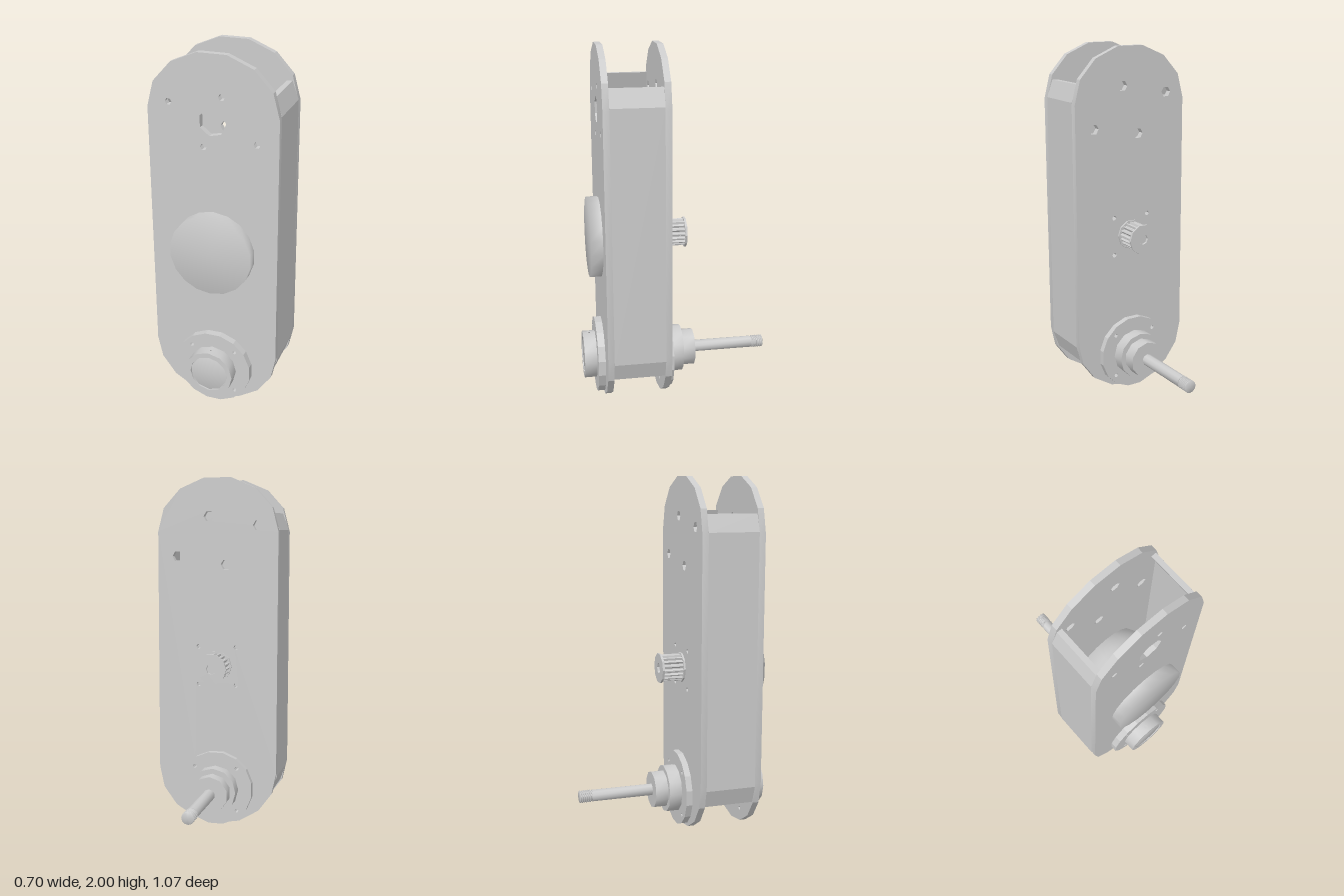
import * as THREE from 'three';
import { toCreasedNormals } from 'three/addons/utils/BufferGeometryUtils.js';

const material = new THREE.MeshStandardMaterial({ color: 0xcccccc });
const HUB_Y = 0.22, MOTOR_Y = 0.935;
const bolts = [[-0.235, 1.735], [0.05, 1.785], [0.235, 1.56], [-0.05, 1.515]];
const square = (cy, d) => [[-d, cy + d], [d, cy + d], [d, cy - d], [-d, cy - d]];

export function createModel() {
  const group = new THREE.Group();

  const add = (name, geometry, y = 0, z = 0) => {
    const mesh = new THREE.Mesh(geometry, material);
    mesh.name = name;
    mesh.position.set(0, y, z);
    group.add(mesh);
    return mesh;
  };

  // Solid of revolution about z; profile holds [radius, z] pairs with z rising
  const turned = (name, y, profile, sides, soft = false) => {
    const g = new THREE.LatheGeometry(profile.map(p => new THREE.Vector2(...p)), sides);
    g.rotateX(Math.PI / 2);
    return add(name, soft ? g : toCreasedNormals(g, 0.85), y);
  };

  // Straight extrusion along z from z0 to z1
  const slab = (name, shape, z0, z1, y = 0) => {
    const g = new THREE.ExtrudeGeometry(shape, { depth: z1 - z0, bevelEnabled: false });
    return add(name, toCreasedNormals(g, 0.3), y, z0);
  };

  const polygon = (x, y, r, sides, turn = 0) => Array.from({ length: sides }, (_, i) => {
    const a = turn + i / sides * Math.PI * 2;
    return new THREE.Vector2(x + r * Math.cos(a), y + r * Math.sin(a));
  });
  const drill = (shape, places, r, sides = 6) => {
    for (const [x, y] of places) shape.holes.push(new THREE.Path(polygon(x, y, r, sides)));
  };

  // Long plates with faceted round ends
  const plateShape = () => {
    const pts = [];
    for (let i = 0; i <= 7; i++) {
      const a = i / 7 * Math.PI;
      pts.push(new THREE.Vector2(0.35 * Math.cos(a), 1.7 + 0.308 * Math.sin(a)));
    }
    for (let i = 0; i <= 8; i++) {
      const a = Math.PI + i / 8 * Math.PI;
      pts.push(new THREE.Vector2(0.35 * Math.cos(a), 0.32 + 0.32 * Math.sin(a)));
    }
    return new THREE.Shape(pts);
  };
  const front = plateShape();
  drill(front, bolts, 0.018);
  drill(front, [[0, 1.65]], 0.074, 7);
  drill(front, square(HUB_Y, 0.125), 0.012);
  slab('frontPlate', front, 0.39, 0.425);

  const back = plateShape();
  drill(back, bolts, 0.03);
  drill(back, square(MOTOR_Y, 0.11), 0.014);
  drill(back, square(HUB_Y, 0.125), 0.012);
  slab('backPlate', back, 0.07, 0.105);

  // Side walls between the plates
  for (const s of [1, -1]) {
    const outline = [[0.35, 0.3], [0.35, 1.71], [0.315, 1.805], [0.285, 1.805], [0.32, 1.7],
      [0.32, 0.31], [0.285, 0.2], [0.315, 0.2]].map(([x, y]) => new THREE.Vector2(s * x, y));
    slab(s > 0 ? 'leftWall' : 'rightWall', new THREE.Shape(outline), 0.105, 0.39);
  }

  // Motor with a tapered rear and softly shaded front face
  turned('motor', MOTOR_Y, [[0, 0.105], [0.185, 0.105], [0.224, 0.18], [0.224, 0.43]], 18);
  turned('motorCap', MOTOR_Y, [[0.226, 0.425], [0.226, 0.49], [0, 0.49]], 18, true);

  // Toothed pulley on the motor shaft
  const teeth = 18, gearPoints = [];
  for (let i = 0; i < teeth * 4; i++) {
    const a = (i + 0.5) / (teeth * 4) * Math.PI * 2;
    const r = i % 4 < 2 ? 0.077 : 0.066;
    gearPoints.push(new THREE.Vector2(r * Math.cos(a), r * Math.sin(a)));
  }
  const gear = new THREE.Shape(gearPoints);
  drill(gear, [[0, 0]], 0.03, 8);
  slab('pulleyTeeth', gear, -0.052, 0.062, MOTOR_Y);
  for (const [name, z] of [['pulleyRearFlange', -0.064], ['pulleyFrontFlange', 0.06]]) {
    const ring = new THREE.Shape(polygon(0, 0, 0.086, 10));
    drill(ring, [[0, 0]], 0.03, 8);
    slab(name, ring, z, z + 0.012, MOTOR_Y);
  }
  turned('motorShaft', MOTOR_Y, [[0, -0.05], [0.03, -0.05], [0.03, 0.105]], 8);

  // Bolted hub flanges on both plates
  for (const [name, z0, z1] of [['frontHubFlange', 0.425, 0.465], ['rearHubFlange', 0.035, 0.07]]) {
    const flange = new THREE.Shape(polygon(0, 0, 0.216, 16, Math.PI / 16));
    drill(flange, square(0, 0.125), 0.012);
    slab(name, flange, z0, z1, HUB_Y);
  }

  // Front bearing housing with a face set into its rim
  turned('frontHubBoss', HUB_Y,
    [[0.135, 0.46], [0.135, 0.535], [0.107, 0.535], [0.107, 0.52]], 12);
  turned('frontBearingFace', HUB_Y, [[0.105, 0.5], [0.105, 0.53], [0, 0.53]], 10, true);
  const screw = add('setScrew', new THREE.ConeGeometry(0.012, 0.012, 6), HUB_Y + 0.133, 0.5);
  screw.rotation.x = Math.PI;

  // Hub core between the plates and the stepped rear housing
  turned('hubCore', HUB_Y, [[0.107, 0.1], [0.107, 0.395]], 12);
  turned('rearHubBoss', HUB_Y, [[0.1, -0.037], [0.135, -0.037], [0.135, 0.04]], 12);
  turned('rearHubCollar', HUB_Y, [[0, -0.11], [0.106, -0.11], [0.106, -0.03]], 10);

  // Output shaft with a threaded tip
  turned('outputShaft', HUB_Y, [[0, -0.462], [0.034, -0.462], [0.034, -0.1]], 10);
  const thread = [[0, -0.535], [0.031, -0.535]];
  for (let i = 0; i < 6; i++) {
    const z = -0.532 + i * 0.0115;
    thread.push([0.036, z], [0.036, z + 0.003], [0.03, z + 0.006], [0.03, z + 0.009]);
  }
  thread.push([0.03, -0.46]);
  turned('shaftThread', HUB_Y, thread, 12);

  return group;
}
